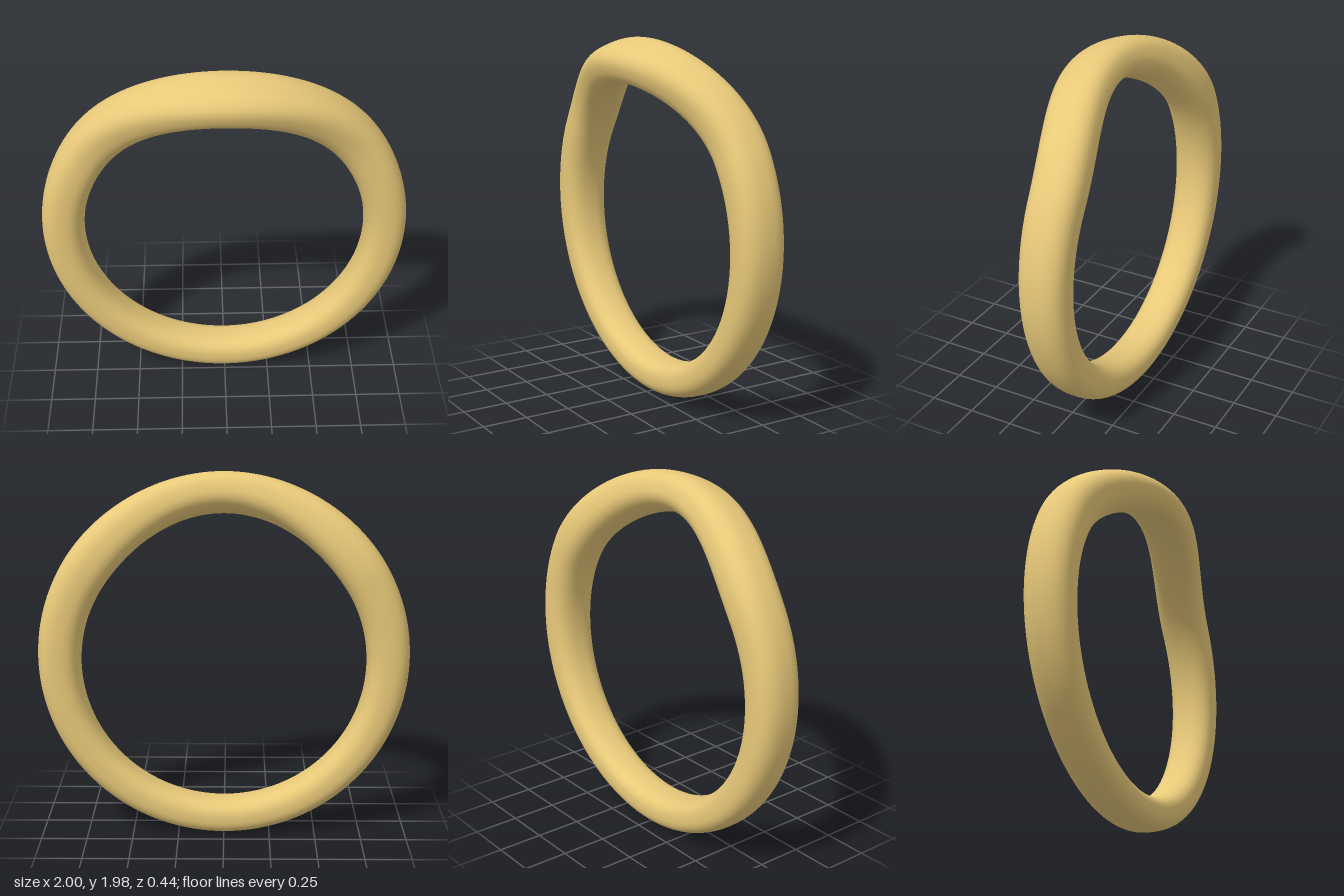
import * as THREE from 'three';

const { lerp } = THREE.MathUtils;
const power = (v, e) => Math.sign(v) * Math.abs(v) ** e;

// Closed band: a rounded cross-section swept round a circle, pushed forward and tilted at the crest
function bandGeometry(steps = 192, sides = 48) {
  const positions = [], indices = [];
  for (let i = 0; i < steps; i++) {
    const t = (i / steps) * Math.PI * 2; // 0 is the top of the ring
    const fromTop = Math.min(t, Math.PI * 2 - t);
    const reach = Math.PI / 3;
    const crest = fromTop < reach ? 0.5 + 0.5 * Math.cos((fromTop / reach) * Math.PI) : 0;
    const height = 0.5 + 0.5 * Math.cos(t);

    // Thickness, depth, centre and tilt of this cross-section
    const half = lerp(lerp(0.094, 0.134, height), 0.106, crest);
    const depth = lerp(lerp(0.1175, 0.14, height), 0.153, crest);
    const radius = lerp(0.893, 0.874, height);
    const zMid = lerp(lerp(-0.0985, -0.083, height), 0.068, crest);
    const tilt = 0.35 * crest;

    for (let j = 0; j < sides; j++) {
      const v = (j / sides) * Math.PI * 2;
      const r = half * power(Math.cos(v), 0.8);
      const d = depth * power(Math.sin(v), 0.8);
      const out = radius + r * Math.cos(tilt) - d * Math.sin(tilt);
      const z = zMid + d * Math.cos(tilt) + r * Math.sin(tilt);
      positions.push(Math.sin(t) * out, 0.99 + Math.cos(t) * out, z);

      const i2 = (i + 1) % steps, j2 = (j + 1) % sides;
      const a = i * sides + j, b = i * sides + j2;
      const c = i2 * sides + j, e = i2 * sides + j2;
      indices.push(a, b, c, b, e, c);
    }
  }
  const geometry = new THREE.BufferGeometry();
  geometry.setAttribute('position', new THREE.Float32BufferAttribute(positions, 3));
  geometry.setIndex(indices);
  geometry.computeVertexNormals();
  return geometry;
}

export function createModel() {
  const group = new THREE.Group();
  group.name = 'curvedRing';
  const band = new THREE.Mesh(bandGeometry(), new THREE.MeshStandardMaterial({ color: 0xe8c979 }));
  band.name = 'band';
  group.add(band);
  return group;
}
